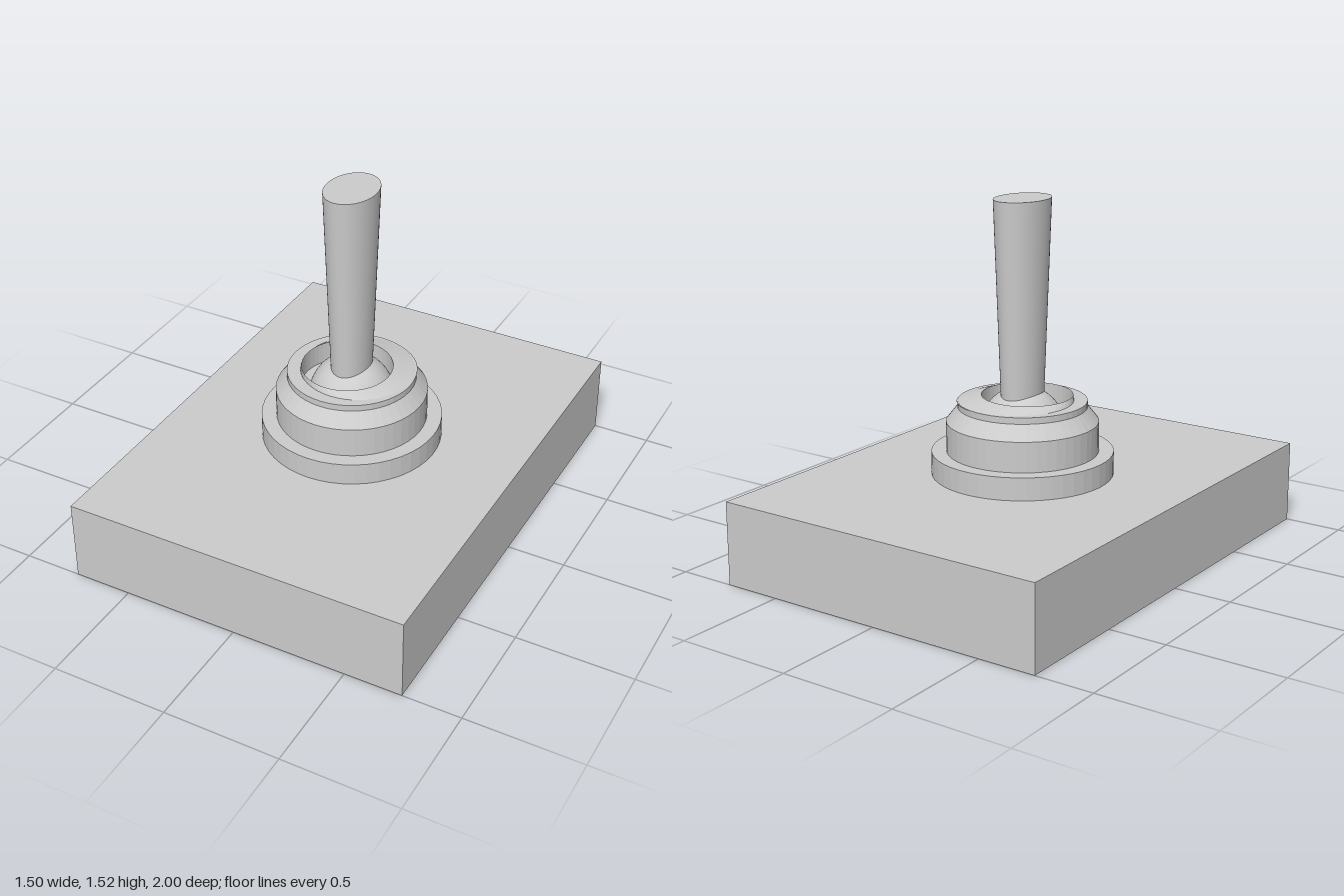
import * as THREE from 'three';

export function createModel() {
  const model = new THREE.Group();
  const SEG = 48;
  const flat = new THREE.MeshStandardMaterial({ color: 0xcccccc, flatShading: true });
  const smooth = new THREE.MeshStandardMaterial({ color: 0xcccccc });

  const add = (name, geometry, material, y = 0) => {
    const mesh = new THREE.Mesh(geometry, material);
    mesh.name = name;
    mesh.position.y = y;
    model.add(mesh);
    return mesh;
  };
  const lathe = (pts) => new THREE.LatheGeometry(pts.map(([r, y]) => new THREE.Vector2(r, y)), SEG);

  // Rectangular switch body
  add('body', new THREE.BoxGeometry(1.5, 0.356, 2), flat, 0.178);

  // Stepped collar: flange, barrel, chamfer and rim around an open socket
  add('collar', lathe([
    [0.383, 0.356], [0.383, 0.453], [0.32, 0.453], [0.32, 0.582],
    [0.272, 0.643], [0.272, 0.67], [0.215, 0.67], [0.215, 0.6], [0.1, 0.6],
  ]), flat);

  // Raised socket lip, with its opening slightly off centre
  const lipProfile = [[0.245, 0.668], [0.192, 0.693], [0.192, 0.6]];
  const lipShift = [0.022, -0.014, -0.014];
  const lip = lathe(lipProfile);
  const p = lip.attributes.position;
  for (let i = 0; i < p.count; i++) {
    const s = lipShift[i % lipProfile.length];
    p.setX(i, p.getX(i) + s);
    p.setZ(i, p.getZ(i) - s);
  }
  add('socketLip', lip, flat);

  // Ball pivot seated in the socket
  add('pivotBall', new THREE.SphereGeometry(0.18, SEG, 24), smooth, 0.545);

  // Tapered lever with an oval section
  const lever = add('lever', new THREE.CylinderGeometry(0.143, 0.106, 0.87, SEG), smooth, 1.083);
  lever.scale.x = 0.75;

  return model;
}
